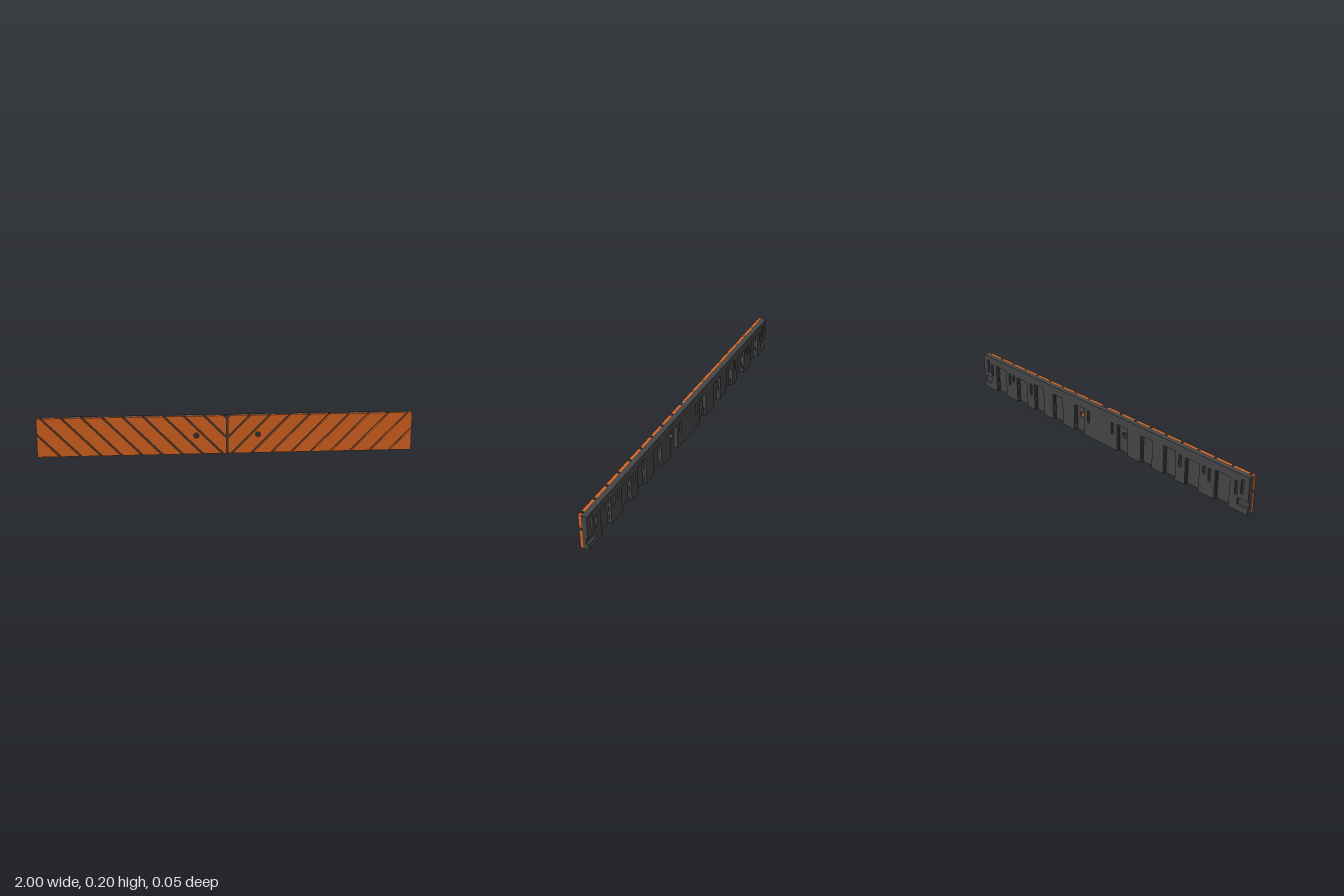
import * as THREE from 'three';

const H = 0.205, HOLE_X = 0.165, HOLE_Y = 0.1;
const Z_BACK = -0.022, Z_STEP = -0.01, Z_FLOOR = -0.001, Z_JOIN = 0.008, Z_FRONT = 0.023;

const orange = new THREE.MeshStandardMaterial({ color: 0xdd6622 });
const dark = new THREE.MeshStandardMaterial({ color: 0x444444 });

const toShape = pts => new THREE.Shape(pts.map(p => new THREE.Vector2(p[0], p[1])));
const rect = (x0, x1, y0, y1) => [[x0, y0], [x1, y0], [x1, y1], [x0, y1]];

function slab(name, shape, z0, z1, material) {
  const geo = new THREE.ExtrudeGeometry(shape, { depth: z1 - z0, bevelEnabled: false, curveSegments: 10 });
  geo.translate(0, 0, z0);
  const mesh = new THREE.Mesh(geo, material);
  mesh.name = name;
  return mesh;
}

function addRoundHole(shape, x, y, r) {
  const p = new THREE.Path();
  p.absarc(x, y, r, 0, Math.PI * 2, true);
  shape.holes.push(p);
}

// Keep the part of a polygon where s * (x - y - b) >= 0
function clip(pts, b, s) {
  const out = [];
  pts.forEach((p, i) => {
    const q = pts[(i + 1) % pts.length];
    const dp = s * (p[0] - p[1] - b), dq = s * (q[0] - q[1] - b);
    if (dp >= 0) out.push(p);
    if ((dp >= 0) !== (dq >= 0)) {
      const t = dp / (dp - dq);
      out.push([p[0] + (q[0] - p[0]) * t, p[1] + (q[1] - p[1]) * t]);
    }
  });
  return out;
}

// Front facing: diagonal boards with open grooves, mirrored about the centre joint
function frontBoards() {
  const group = new THREE.Group();
  group.name = 'frontBoards';
  const pitch = 0.107, first = 0.88, gap = 0.006;
  for (const side of [1, -1]) {
    for (let k = 0; k <= 10; k++) {
      const hi = first - (k - 1) * pitch, lo = first - k * pitch;
      let pts = rect(0.004, 1, 0, H);
      if (k > 0) pts = clip(pts, hi - gap, -1);
      pts = clip(pts, lo + gap, 1);
      if (pts.length < 3) continue;
      const shape = toShape(pts.map(p => [side * p[0], p[1]]));
      const d = HOLE_X - HOLE_Y;
      if (d > lo && d < hi) addRoundHole(shape, side * HOLE_X, HOLE_Y, 0.014);
      group.add(slab('board', shape, Z_JOIN, Z_FRONT, orange));
    }
  }
  return group;
}

// Recessed channels on the back, open at the bottom edge: [centre, width, top]
const half = [[0.165, 0.07, 0.155], [0.34, 0.075, 0.155], [0.5, 0.075, 0.16],
  [0.65, 0.085, 0.15], [0.84, 0.085, 0.16]];
const channels = [...half.map(c => [-c[0], c[1], c[2]]), ...half].sort((a, b) => a[0] - b[0]);

// Back outline with channels cut in, optionally with a notch in each end
function backOutline(notched, grow) {
  const pts = [[-1, 0]];
  for (const [x, w, top] of channels) {
    const a = x - w / 2 - grow, b = x + w / 2 + grow;
    pts.push([a, 0], [a, top + grow], [b, top + grow], [b, 0]);
  }
  pts.push([1, 0]);
  if (notched) pts.push([1, 0.035], [0.935, 0.035], [0.935, 0.073], [1, 0.073]);
  pts.push([1, H], [-1, H]);
  if (notched) pts.push([-1, 0.073], [-0.935, 0.073], [-0.935, 0.035], [-1, 0.035]);
  return toShape(pts);
}

function backing() {
  const group = new THREE.Group();
  group.name = 'backing';

  // Thin plate behind the boards with fixing holes
  const plate = toShape(rect(-1, 1, 0, H));
  for (const s of [1, -1]) addRoundHole(plate, s * HOLE_X, HOLE_Y, 0.017);
  group.add(slab('backPlate', plate, Z_FLOOR, Z_JOIN, dark));

  // Inner relief, then outer relief with slots and end notches
  group.add(slab('innerRelief', backOutline(false, 0), Z_STEP, Z_FLOOR, dark));
  const outer = backOutline(true, 0.003);
  const slots = [[0.96, 0.1, 0.18], [0.925, 0.085, 0.16], [0.76, 0.085, 0.155],
    [0.725, 0.115, 0.155], [0.57, 0.085, 0.155], [0.09, 0.085, 0.155]];
  for (const s of [1, -1]) {
    for (const [x, y0, y1] of slots) {
      const pts = rect(s * x - 0.008, s * x + 0.008, y0, y1);
      outer.holes.push(new THREE.Path(pts.map(p => new THREE.Vector2(p[0], p[1]))));
    }
  }
  group.add(slab('outerRelief', outer, Z_BACK, Z_STEP, dark));
  return group;
}

export function createModel() {
  const model = new THREE.Group();
  model.name = 'slattedPanel';
  model.add(frontBoards(), backing());
  return model;
}
